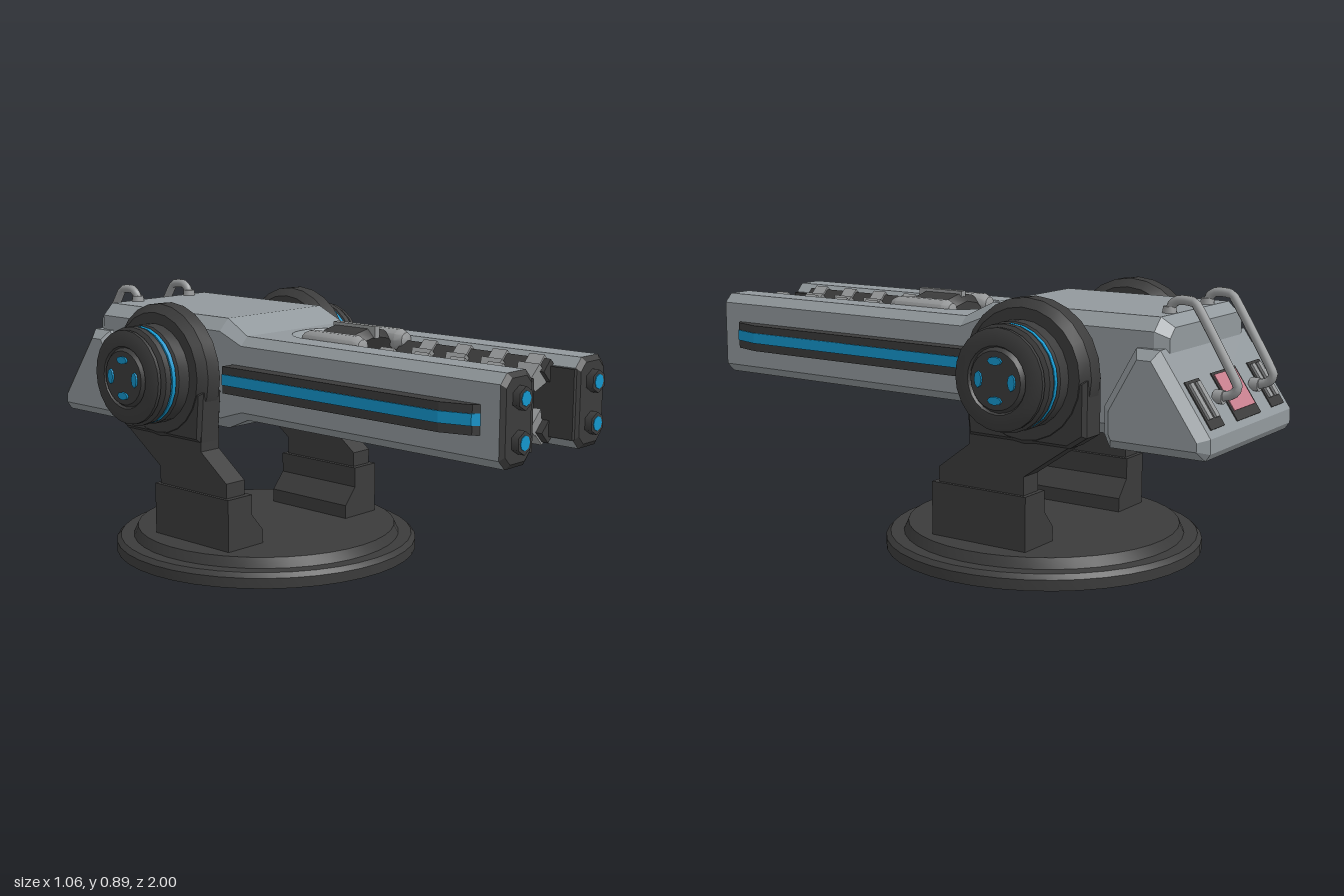
import * as THREE from 'three';
import { toCreasedNormals } from 'three/addons/utils/BufferGeometryUtils.js';

const mat = (name, color) => Object.assign(new THREE.MeshStandardMaterial({ color }), { name });

export function createModel() {
  const root = new THREE.Group();
  const grey = mat('hull grey', 0x92999d), dark = mat('dark metal', 0x3b3b3b);
  const blue = mat('glow blue', 0x1496cc), pink = mat('screen pink', 0xc77f8d);
  const metal = mat('pale metal', 0x969899);

  const add = (name, geo, material, parent = root) => {
    const m = new THREE.Mesh(geo, material);
    m.name = name;
    parent.add(m);
    return m;
  };
  // reflected copy across x = 0, with the corner order reversed
  const mirror = (geo) => {
    const g = geo.index ? geo.toNonIndexed() : geo.clone();
    for (const key of ['position', 'normal']) {
      const a = g.attributes[key];
      for (let i = 0; i < a.count; i += 3) {
        const v = [0, 2, 1].map(k => [-a.getX(i + k), a.getY(i + k), a.getZ(i + k)]);
        v.forEach((p, k) => a.setXYZ(i + k, ...p));
      }
    }
    return g;
  };
  const pair = (name, geo, material) => {
    add('left ' + name, geo, material);
    add('right ' + name, mirror(geo), material);
  };
  const box = (x0, x1, y0, y1, z0, z1) => new THREE.BoxGeometry(x1 - x0, y1 - y0, z1 - z0)
    .translate((x0 + x1) / 2, (y0 + y1) / 2, (z0 + z1) / 2);
  const poly = (pts) => new THREE.Shape(pts.map(p => new THREE.Vector2(...p)));
  const extrude = (shape, length, b = 0) => new THREE.ExtrudeGeometry(shape, {
    depth: length - 2 * b, bevelEnabled: b > 0, bevelSize: b, bevelThickness: b,
    bevelOffset: -b, bevelSegments: 1, curveSegments: 20,
  }).translate(0, 0, b);
  // side profile of [z, y] points, drawn out along x
  const alongX = (pts, x0, x1, b) => extrude(poly(pts.map(([z, y]) => [-z, y])), x1 - x0, b)
    .rotateY(Math.PI / 2).translate(x0, 0, 0);
  // plan of [x, z] points, drawn out along y
  const alongY = (pts, y0, y1) => extrude(poly(pts.map(([x, z]) => [x, -z])), y1 - y0)
    .rotateX(-Math.PI / 2).translate(0, y0, 0);
  const lathe = (pts, n) => toCreasedNormals(
    new THREE.LatheGeometry(pts.map(p => new THREE.Vector2(...p)), n), 0.45);
  // chamfered rectangular sections [z, centre x, half width, y0, y1, chamfer], by rising z
  const loft = (sections) => {
    const rings = sections.map(([z, cx, w, a, b, c]) => [
      [cx - w + c, a, z], [cx + w - c, a, z], [cx + w, a + c, z], [cx + w, b - c, z],
      [cx + w - c, b, z], [cx - w + c, b, z], [cx - w, b - c, z], [cx - w, a + c, z]]);
    const p = [], tri = (...v) => v.forEach(q => p.push(...q));
    for (let s = 0; s + 1 < rings.length; s++) {
      for (let i = 0; i < 8; i++) {
        const j = (i + 1) % 8, A = rings[s], B = rings[s + 1];
        tri(A[i], A[j], B[j]);
        tri(A[i], B[j], B[i]);
      }
    }
    const first = rings[0], last = rings[rings.length - 1];
    for (let i = 1; i < 7; i++) {
      tri(first[0], first[i + 1], first[i]);
      tri(last[0], last[i], last[i + 1]);
    }
    const g = new THREE.BufferGeometry();
    g.setAttribute('position', new THREE.Float32BufferAttribute(p, 3));
    g.computeVertexNormals();
    return g;
  };

  // round base
  add('base', lathe([[0, 0], [0.53, 0], [0.53, 0.035], [0.515, 0.05], [0.47, 0.05],
    [0.455, 0.083], [0, 0.083]], 40).translate(0, 0, -0.23), dark);

  // support legs and pivot wheels
  const PY = 0.645, PZ = -0.385;
  const wheel = (pts, n = 24) => lathe(pts, n).rotateZ(-Math.PI / 2).translate(0, PY, PZ);
  pair('foot', extrude(poly([[0.37, 0.08], [0.37, 0.26], [0.26, 0.26], [0.26, 0.19],
    [0.21, 0.13], [0.21, 0.08]]), 0.36).translate(0, 0, -0.4), dark);
  pair('support arm', alongX([[-0.06, 0.25], [-0.06, 0.31], [-0.18, 0.4], [-0.18, 0.6],
    [-0.6, 0.6], [-0.6, 0.47], [-0.385, 0.32], [-0.385, 0.25]], 0.275, 0.358), dark);
  pair('pivot skirt', alongX([[-0.18, 0.43], [-0.165, 0.6], [-0.385, 0.66], [-0.61, 0.645],
    [-0.61, 0.47], [-0.55, 0.43]], 0.268, 0.368, 0.012), dark);
  pair('pivot disc', wheel([[0, 0.267], [0.205, 0.267], [0.232, 0.292], [0.232, 0.345],
    [0.205, 0.37], [0, 0.37]]), dark);
  pair('wheel', wheel([[0.168, 0.36], [0.168, 0.415], [0.158, 0.422], [0.158, 0.443],
    [0.166, 0.448], [0.166, 0.47], [0.15, 0.478], [0.158, 0.485], [0.158, 0.497],
    [0.135, 0.507], [0.105, 0.507], [0.1, 0.499], [0.09, 0.512], [0, 0.512]]), dark);
  pair('wheel ring', wheel([[0.158, 0.425], [0.164, 0.425], [0.164, 0.44], [0.158, 0.44]]), blue);
  for (let i = 0; i < 4; i++) {
    const a = i * Math.PI / 2;
    pair('wheel light', new THREE.CylinderGeometry(0.5, 0.5, 0.008, 8).rotateZ(Math.PI / 2)
      .scale(1, 0.026, 0.05).translate(0.515, 0.06, 0).rotateX(a).translate(0, PY, PZ), blue);
  }

  // main hull and forked front
  add('hull', loft([[-0.82, 0, 0.24, 0.5, 0.805, 0.03], [-0.78, 0, 0.265, 0.462, 0.835, 0.04],
    [-0.18, 0, 0.265, 0.462, 0.835, 0.04], [-0.08, 0, 0.265, 0.503, 0.785, 0.03]]), grey);
  const fork = poly([[-0.265, 0.16], [-0.265, -0.955], [-0.115, -0.955], [-0.115, -0.1]]);
  fork.absarc(0, -0.1, 0.115, Math.PI, 0, true);
  [[0.115, -0.955], [0.265, -0.955], [0.265, 0.16]].forEach(p => fork.lineTo(...p));
  add('fork', extrude(fork, 0.282, 0.03).rotateX(-Math.PI / 2).translate(0, 0.503, 0), grey);
  pair('fork tip', loft([[0.88, 0.19, 0.075, 0.503, 0.785, 0.03],
    [0.962, 0.19, 0.075, 0.503, 0.785, 0.03]]), grey);
  pair('fork cap', loft([[0.962, 0.19, 0.075, 0.503, 0.785, 0.03],
    [0.974, 0.19, 0.062, 0.518, 0.77, 0.026]]), dark);
  pair('inner wall', box(0.105, 0.13, 0.535, 0.753, 0.1, 0.965), dark);
  for (const y of [0.58, 0.71]) {
    const disc = (r, h, n, z) => new THREE.CylinderGeometry(r, r, h, n)
      .rotateX(Math.PI / 2).translate(0.19, y, z);
    pair('nozzle', disc(0.036, 0.03, 6, 0.983), dark);
    pair('nozzle light', disc(0.023, 0.008, 8, 0.996), blue);
  }

  // side strips
  const strip = (d, y0, y1) => alongY([[0.25, -0.12], [0.313 + d, -0.12], [0.313 + d, 0.78],
    [0.285 + d, 0.88], [0.25, 0.905]], y0, y1);
  pair('side strip', strip(0, 0.6, 0.69), dark);
  pair('side light', strip(0.004, 0.628, 0.664), blue);

  // core between the prongs
  const drum = (pts, n) => lathe(pts, n).rotateX(Math.PI / 2).translate(0, PY, 0);
  add('core drum', drum([[0, -0.1], [0.1, -0.1], [0.115, 0.08], [0.15, 0.085], [0.176, 0.11],
    [0.176, 0.25], [0.15, 0.275], [0.1, 0.25], [0, 0.2]], 16), dark);
  add('core disc', lathe([[0, -0.032], [0.085, -0.032], [0.1, -0.018], [0.1, 0.018],
    [0.085, 0.032], [0, 0.032]], 16).translate(0, PY, 0.2), dark);
  for (const s of [1, -1]) {
    add('core pin', box(-0.012, 0.012, -0.02, 0.02, 0.1, 0.28)
      .translate(0, PY + s * 0.164, 0), metal);
    pair('core rod', toCreasedNormals(new THREE.CapsuleGeometry(0.036, 0.195, 2, 10), 0.7)
      .rotateX(Math.PI / 2).translate(0.108, PY + s * 0.13, 0.19), metal);
    // rail with a row of teeth aimed at the centre line
    const tilt = s > 0 ? Math.PI / 4 : 3 * Math.PI / 4;
    const place = (g, x, y, z) => g.rotateZ(Math.PI / 2 + tilt).translate(x, PY + s * y, z);
    pair('rail', place(new THREE.BoxGeometry(0.05, 0.05, 0.58), 0.105, 0.095, 0.59), dark);
    for (let i = 0; i < 4; i++) {
      const z = 0.415 + i * 0.138;
      pair('tooth base', place(new THREE.BoxGeometry(0.055, 0.06, 0.055), 0.105, 0.1, z), metal);
      pair('tooth', place(toCreasedNormals(new THREE.CylinderGeometry(0.035, 0.056, 0.06, 4), 0.3)
        .rotateY(Math.PI / 4), 0.07, 0.07, z), metal);
    }
  }

  // rear housing
  add('rear housing', alongX([[-0.645, 0.433], [-0.965, 0.433], [-0.98, 0.455], [-0.98, 0.5],
    [-0.81, 0.745], [-0.73, 0.745], [-0.625, 0.56], [-0.625, 0.475]], -0.31, 0.31, 0.03), grey);

  // screen and vents lying on the sloped rear face
  const panel = new THREE.Group();
  panel.name = 'rear panel';
  const n = new THREE.Vector3(0, 0.17, -0.245).normalize();
  const up = new THREE.Vector3(0, 0.245, 0.17).normalize();
  panel.quaternion.setFromRotationMatrix(
    new THREE.Matrix4().makeBasis(new THREE.Vector3(-1, 0, 0), up, n));
  panel.position.set(0, 0.586, -0.92);
  root.add(panel);
  const plate = (name, x, y, w, h, z0, z1, m) =>
    add(name, box(x - w / 2, x + w / 2, y - h / 2, y + h / 2, z0, z1), m, panel);
  plate('screen frame', 0, 0, 0.165, 0.165, -0.01, 0.004, dark);
  plate('screen', 0, 0.012, 0.145, 0.125, 0, 0.007, pink);
  for (const s of [-1, 1]) {
    plate('vent', s * 0.21, 0, 0.09, 0.16, -0.01, 0.004, dark);
    for (const d of [-0.022, 0.022]) plate('vent slat', s * 0.21 + d, 0.01, 0.022, 0.12, 0, 0.012, metal);
  }

  // bent rear pipes
  const path = new THREE.CatmullRomCurve3([[-0.752, 0.81], [-0.76, 0.855], [-0.785, 0.875],
    [-0.83, 0.873], [-0.855, 0.85], [-0.975, 0.655], [-0.984, 0.625], [-0.965, 0.605], [-0.9, 0.59]]
    .map(([z, y]) => new THREE.Vector3(0.125, y, z)), false, 'catmullrom', 0.4);
  pair('rear pipe', new THREE.TubeGeometry(path, 40, 0.015, 10), metal);
  pair('pipe collar', new THREE.CylinderGeometry(0.02, 0.024, 0.025, 10)
    .translate(0.125, 0.842, -0.755), metal);
  pair('pipe socket', new THREE.CylinderGeometry(0.022, 0.022, 0.03, 10)
    .rotateX(Math.PI / 2).translate(0.125, 0.596, -0.928), metal);
  return root;
}
